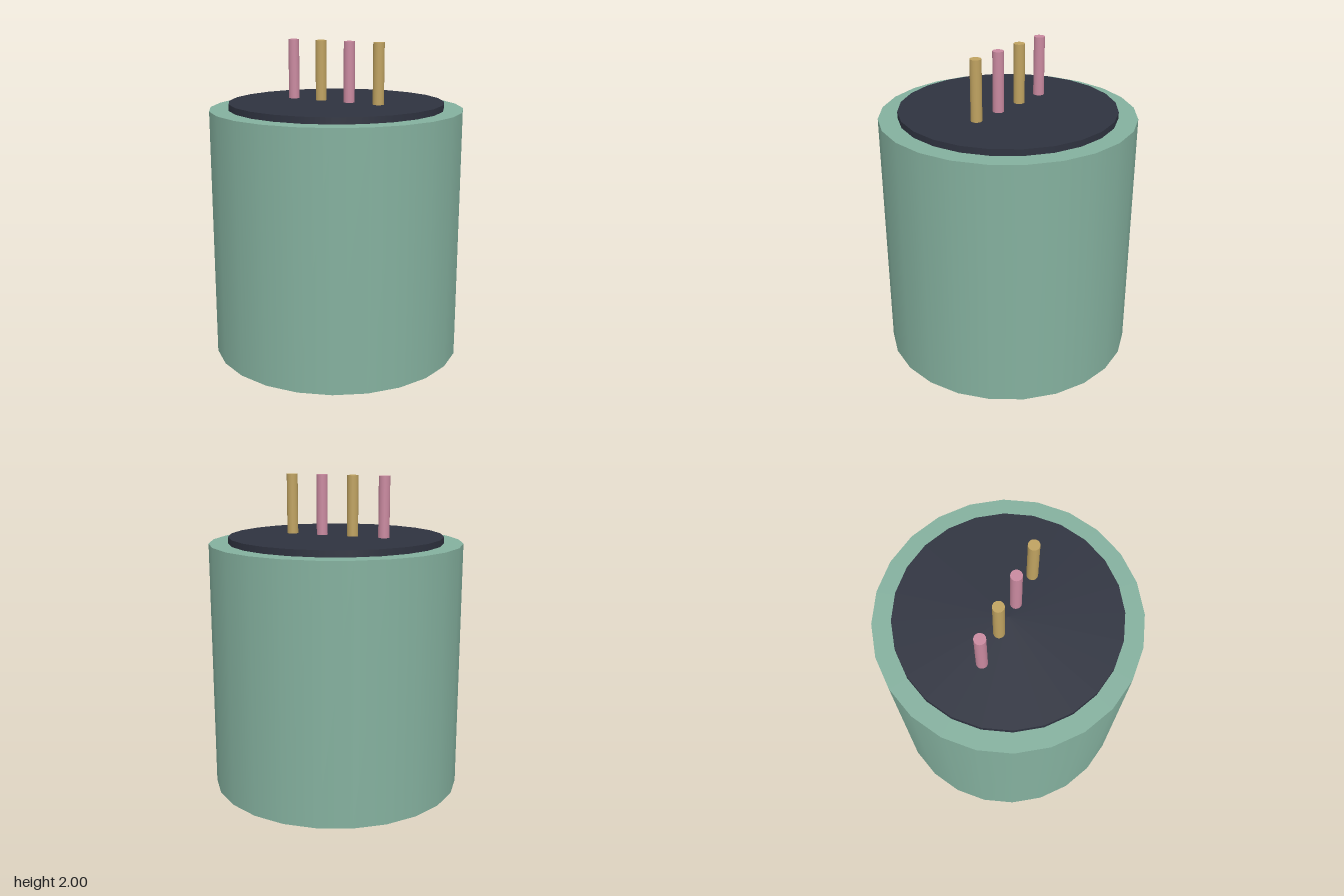
import * as THREE from 'three';

export function createModel() {
  const model = new THREE.Group();

  // Upright cylinder between two heights
  function addCylinder(name, radius, bottom, top, sides, color, x = 0) {
    const mesh = new THREE.Mesh(
      new THREE.CylinderGeometry(radius, radius, top - bottom, sides),
      new THREE.MeshStandardMaterial({ color })
    );
    mesh.name = name;
    mesh.position.set(x, (bottom + top) / 2, 0);
    model.add(mesh);
  }

  // Can and the raised cap on top
  addCylinder('body', 0.8, 0, 1.583, 24, 0x84b09e);
  addCylinder('cap', 0.68, 1.583, 1.623, 24, 0x2f3340);

  // Row of four pins in alternating colours
  for (let i = 0; i < 4; i++) {
    const color = i % 2 ? 0xbfa260 : 0xc9899f;
    addCylinder('pin' + (i + 1), 0.035, 1.6, 2, 16, color, -0.321 + i * 0.208);
  }

  return model;
}
